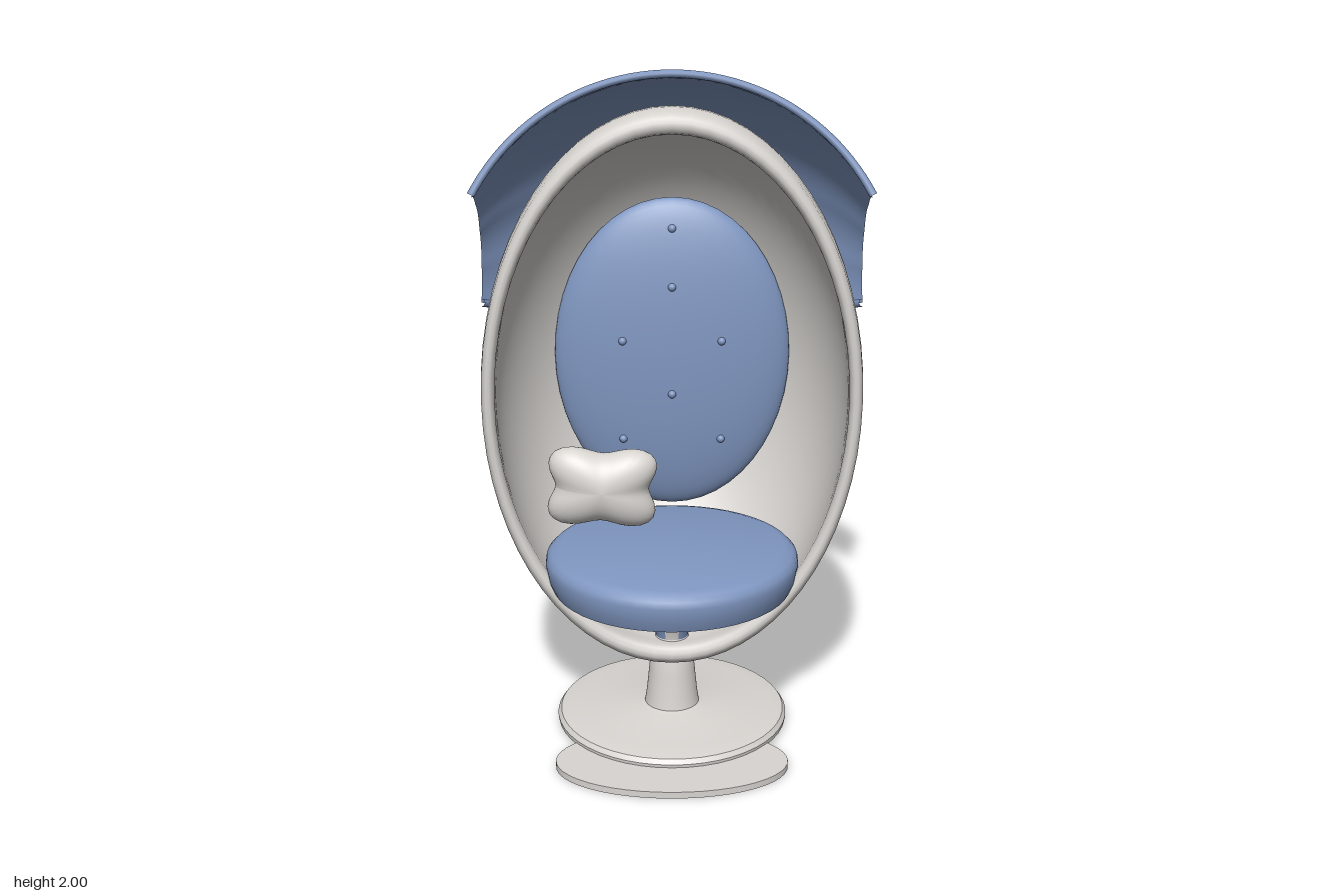
import * as THREE from 'three';
import { toCreasedNormals } from 'three/addons/utils/BufferGeometryUtils.js';

const AXIS_Z = 0.09; // shared vertical axis of base, seat and shell

function lathe(pairs, segments = 48, start = 0, length = Math.PI * 2) {
  return new THREE.LatheGeometry(pairs.map(([r, y]) => new THREE.Vector2(Math.max(r, 0), y)), segments, start, length);
}

export function createModel() {
  const group = new THREE.Group();
  const blue = new THREE.MeshStandardMaterial({ color: 0x8097c1 });
  blue.name = 'blueFabric';
  const grey = new THREE.MeshStandardMaterial({ color: 0xd8d5d1 });
  grey.name = 'warmGrey';

  function add(name, geometry, material, x = 0, y = 0, z = 0) {
    const mesh = new THREE.Mesh(geometry, material);
    mesh.name = name;
    mesh.position.set(x, y, z);
    group.add(mesh);
    return mesh;
  }

  // Egg shell: hollow, open at the front with a rounded rim
  const shellProfile = [];
  const rimAngle = 9;
  const arc = (i, r, d) => {
    const a = THREE.MathUtils.degToRad(-90 + (90 + rimAngle) * i / 24);
    return [r * Math.cos(a), d * Math.sin(a)];
  };
  for (let i = 0; i <= 24; i++) shellProfile.push(arc(i, 1, 0.57));
  shellProfile.push([0.974, 0.103], [0.96, 0.11], [0.942, 0.11], [0.926, 0.102]);
  for (let i = 24; i >= 0; i--) shellProfile.push(arc(i, 0.93, 0.535));
  const shell = lathe(shellProfile, 64);
  shell.rotateX(Math.PI / 2);
  shell.scale(0.567, 0.85, 1);
  add('eggShell', shell, grey, 0, 1.07, AXIS_Z);

  // Pedestal: domed disc and tapering column
  const pedestal = lathe([
    [0, 0.008], [0.345, 0.008], [0.358, 0.015], [0.36, 0.03], [0.35, 0.044], [0.3, 0.053],
    [0.1, 0.057], [0.085, 0.062], [0.079, 0.1], [0.072, 0.17], [0.066, 0.23], [0.05, 0.29],
  ]);
  add('pedestal', toCreasedNormals(pedestal, 0.7), grey, 0, 0, AXIS_Z);

  // Flared collar under the seat, with a grey front panel
  const collar = [[0.05, 0.285], [0.056, 0.32], [0.075, 0.36], [0, 0.36]];
  const half = 0.4;
  add('collar', toCreasedNormals(lathe(collar, 24, half, Math.PI * 2 - 2 * half), 0.7), blue, 0, 0, AXIS_Z);
  add('collarPanel', toCreasedNormals(lathe(collar, 6, -half, 2 * half), 0.7), grey, 0, 0, AXIS_Z);

  // Oval footplate
  const plate = new THREE.CylinderGeometry(1, 1, 0.02, 48);
  plate.scale(0.347, 1, 0.187);
  add('footplate', plate, grey, 0, 0.01, 0.4);

  // Round seat cushion
  const seat = lathe([
    [0, 0.46], [0.345, 0.46], [0.367, 0.468], [0.38, 0.5], [0.388, 0.545],
    [0.384, 0.566], [0.37, 0.58], [0.345, 0.588], [0, 0.589],
  ]);
  add('seatCushion', toCreasedNormals(seat, 0.7), blue, 0, 0, 0.1);

  // Domed oval back cushion with its buttons
  const back = { y: 1.095, z: -0.28, rx: 0.375, ry: 0.505, rz: 0.09 };
  const backGeometry = new THREE.SphereGeometry(1, 48, 32);
  backGeometry.rotateX(Math.PI / 2);
  backGeometry.scale(back.rx, back.ry, back.rz);
  add('backCushion', backGeometry, blue, 0, back.y, back.z);
  const buttons = [[0, 1.51], [0, 1.33], [-0.156, 1.157], [0.156, 1.157], [0, 0.985], [-0.156, 0.83], [0.156, 0.83]];
  for (const [x, y] of buttons) {
    const depth = Math.sqrt(1 - (x / back.rx) ** 2 - ((y - back.y) / back.ry) ** 2);
    add('button', new THREE.SphereGeometry(0.013, 12, 8), blue, x, y, back.z + back.rz * depth);
  }

  // Loose pillow: a sphere pulled out towards four corners
  const pillowGeometry = new THREE.SphereGeometry(1, 48, 24);
  pillowGeometry.rotateX(Math.PI / 2);
  const p = pillowGeometry.attributes.position;
  for (let i = 0; i < p.count; i++) {
    const x = p.getX(i), y = p.getY(i);
    const k = 1 + 0.45 * Math.sin(2 * Math.atan2(y, x)) ** 2;
    p.setXYZ(i, x * k * 0.146, y * k * 0.108, p.getZ(i) * 0.08);
  }
  pillowGeometry.computeVertexNormals();
  add('pillow', pillowGeometry, grey, -0.218, 0.733, -0.03).rotation.z = -0.04;

  // Folding hood: a spherical band around a sideways pivot
  const pivotY = 1.375, halfWidth = 0.592, panels = 4;
  const fromAngle = THREE.MathUtils.degToRad(-18), toAngle = THREE.MathUtils.degToRad(70);
  function hoodPoint(t, x, inset) {
    const a = THREE.MathUtils.lerp(fromAngle, toAngle, t);
    const R = 0.665 + 0.017 * Math.sin(Math.PI * t) + 0.003 * Math.abs(Math.sin(Math.PI * t * panels));
    const r = Math.sqrt(R * R - x * x) - inset;
    return new THREE.Vector3(x, pivotY + r * Math.sin(a), AXIS_Z + 0.005 - r * Math.cos(a));
  }
  const across = 32, along = 32, ring = 2 * (across + 1);
  const positions = [], indices = [];
  const xAt = (i) => halfWidth * Math.sin((i / across - 0.5) * Math.PI);
  for (let j = 0; j <= along; j++) {
    for (let i = 0; i <= across; i++) positions.push(...hoodPoint(j / along, xAt(i), 0).toArray());
    for (let i = across; i >= 0; i--) positions.push(...hoodPoint(j / along, xAt(i), 0.02).toArray());
  }
  for (let j = 0; j < along; j++) {
    for (let i = 0; i < ring; i++) {
      const a = j * ring + i, c = j * ring + (i + 1) % ring;
      indices.push(a, a + ring, c, c, a + ring, c + ring);
    }
  }
  const hood = new THREE.BufferGeometry();
  hood.setAttribute('position', new THREE.Float32BufferAttribute(positions, 3));
  hood.setIndex(indices);
  add('hood', toCreasedNormals(hood, 0.7), blue);

  // Hood seams, and thicker piping on the front and back edges
  for (let s = 0; s <= panels; s++) {
    const edge = s === 0 || s === panels;
    const points = [];
    for (let i = 0; i <= across; i += 2) points.push(hoodPoint(s / panels, xAt(i), edge ? 0.01 : 0));
    const curve = new THREE.CatmullRomCurve3(points);
    add(edge ? 'hoodPiping' : 'hoodSeam', new THREE.TubeGeometry(curve, 48, edge ? 0.012 : 0.004, 8), blue);
  }

  return group;
}
